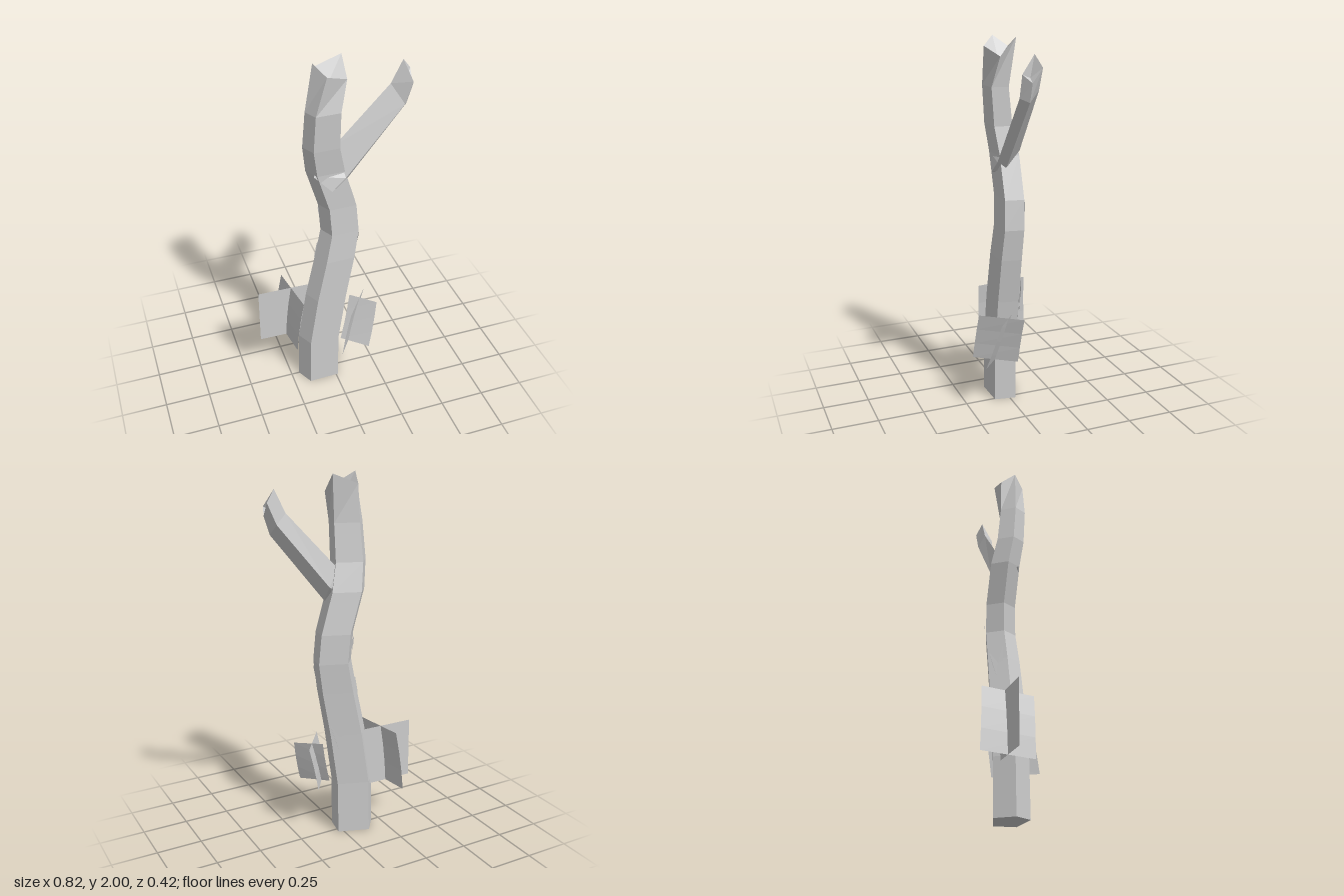
import * as THREE from 'three';

// Faceted skin through equal-sized rings of [x, y, z], with fans to a centre at both ends
function loft(rings, startCentre, endCentre) {
  const n = rings[0].length, pos = [];
  const tri = (a, b, c) => pos.push(...a, ...b, ...c);
  for (let i = 0; i < n; i++) {
    const k = (i + 1) % n;
    for (let j = 0; j < rings.length - 1; j++) {
      const lo = rings[j], hi = rings[j + 1];
      tri(lo[i], lo[k], hi[k]);
      tri(lo[i], hi[k], hi[i]);
    }
    tri(rings[0][k], rings[0][i], startCentre);
    const end = rings[rings.length - 1];
    tri(end[i], end[k], endCentre);
  }
  return facets(pos);
}

function facets(pos) {
  const g = new THREE.BufferGeometry();
  g.setAttribute('position', new THREE.Float32BufferAttribute(pos, 3));
  g.computeVertexNormals();
  return g;
}

const mix = (a, b, t) => a.map((v, i) => v + (b[i] - v) * t);

// Trunk cross-section: left, front-left, front-right, back-right, back
const section = [[-0.115, 0], [-0.07, 0.09], [0.1, 0.085], [0.12, -0.03], [-0.045, -0.09]];
// Trunk spine: y, centre x, centre z, scale
const spine = [
  [0, -0.09, 0, 1], [0.3, -0.085, 0, 0.99], [0.6, -0.04, 0, 0.97],
  [0.85, 0.01, 0, 0.93], [1.02, 0.04, -0.005, 0.88], [1.18, 0.028, -0.01, 0.87],
  [1.4, -0.038, -0.008, 0.87], [1.55, -0.065, 0.015, 0.81], [1.75, -0.06, 0.033, 0.76],
];
const trunkRings = spine.map(([y, cx, cz, s]) => section.map(([x, z]) => [cx + x * s, y, cz + z * s]));
// Jagged broken top
trunkRings.push([[-0.11, 2, 0.045], [-0.06, 1.95, 0.11], [0.055, 1.905, 0.065], [0.055, 2, -0.02], [-0.085, 1.945, -0.03]]);

// Point on a trunk side, u across the side and y up, lifted slightly off the bark
function onTrunk(side, u, y) {
  let j = 0;
  while (j < spine.length - 2 && spine[j + 1][0] < y) j++;
  const t = (y - spine[j][0]) / (spine[j + 1][0] - spine[j][0]);
  const k = (side + 1) % 5;
  const a = mix(trunkRings[j][side], trunkRings[j + 1][side], t);
  const b = mix(trunkRings[j][k], trunkRings[j + 1][k], t);
  const p = mix(a, b, u);
  const dx = b[0] - a[0], dz = b[2] - a[2], d = 0.008 / Math.hypot(dx, dz);
  return [p[0] - dz * d, p[1], p[2] + dx * d];
}

// Torn outline of a loose bark flake, in fractions of its width and height
const flakeOutline = [[0, 0.85], [0.2, 0.35], [0.4, 0], [0.55, 0.45], [0.9, 0.5], [1, 1], [0.05, 0.95]]
  .map(([x, y]) => new THREE.Vector2(x, y));
const flakeFaces = THREE.ShapeUtils.triangulateShape(flakeOutline, []);
function flake(side, u0, u1, y0, y1) {
  const pts = flakeOutline.map(p => onTrunk(side, u0 + (u1 - u0) * p.x, y0 + (y1 - y0) * p.y));
  return facets(flakeFaces.flatMap(f => f.flatMap(i => pts[i])));
}

// Slightly bowed sheet between a bottom and a top edge
function sheet(b0, b1, t0, t1, bow) {
  const pos = [], rows = 3;
  const at = (a, b, t) => {
    const p = mix(a, b, t), s = bow * Math.sin(Math.PI * t);
    return [p[0] + s, p[1], p[2]];
  };
  for (let r = 0; r < rows; r++) {
    const s = r / rows, t = (r + 1) / rows;
    const a = at(b0, t0, s), b = at(b1, t1, s), c = at(b1, t1, t), d = at(b0, t0, t);
    pos.push(...a, ...b, ...c, ...a, ...c, ...d);
  }
  return facets(pos);
}

export function createModel() {
  const model = new THREE.Group();
  const bark = new THREE.MeshStandardMaterial({ color: 0xcccccc, flatShading: true, side: THREE.DoubleSide });
  bark.name = 'bark grey';
  const add = (name, geometry, parent = model) => {
    const mesh = new THREE.Mesh(geometry, bark);
    mesh.name = name;
    parent.add(mesh);
  };

  // Five-sided winding trunk with a sunken, splintered top
  add('trunk', loft(trunkRings, [-0.09, 0, 0], [-0.035, 1.88, 0.04]));

  // Four-sided branch: back, top, front, bottom corners from root to tip
  add('branch', loft([
    [[-0.04, 1.37, 0], [-0.115, 1.395, 0.06], [-0.025, 1.305, 0.085], [-0.02, 1.3, 0.05]],
    [[0.08, 1.43, -0.03], [0.02, 1.52, -0.005], [0.05, 1.37, 0.08], [0.075, 1.345, 0.04]],
    [[0.36, 1.77, -0.012], [0.3, 1.82, 0.01], [0.35, 1.735, 0.083], [0.375, 1.715, 0.04]],
    [[0.408, 1.88, -0.01], [0.36, 1.94, 0.012], [0.387, 1.85, 0.085], [0.405, 1.81, 0.04]],
  ], [-0.05, 1.34, 0.05], [0.365, 1.83, 0.035]));

  // Crossed leaf sheets at the foot of the trunk
  const sheets = new THREE.Group();
  sheets.name = 'leafSheets';
  model.add(sheets);
  add('rightSheet', sheet([-0.41, 0.275, -0.064], [-0.1, 0.275, -0.06], [-0.408, 0.613, -0.064], [-0.1, 0.613, -0.06], 0), sheets);
  add('rightCrossSheet', sheet([-0.28, 0.275, -0.21], [-0.235, 0.275, 0.09], [-0.24, 0.613, -0.19], [-0.195, 0.613, 0.103], -0.006), sheets);
  add('leftSheet', sheet([0.03, 0.275, 0.075], [0.16, 0.275, 0.19], [0.1, 0.54, 0.02], [0.225, 0.535, 0.125], 0.004), sheets);
  add('leftCrossSheet', sheet([-0.006, 0.275, 0.208], [0.14, 0.275, 0], [0.05, 0.54, 0.19], [0.2, 0.54, -0.012], -0.004), sheets);

  // Loose bark flakes: side, start and end across it, bottom and top
  const flakes = new THREE.Group();
  flakes.name = 'barkFlakes';
  model.add(flakes);
  [
    [2, 0.15, 0.95, 0.87, 1.0], [3, 0.05, 0.45, 0.5, 0.7], [3, 0.55, 0.95, 1.04, 1.14],
    [4, 0.1, 0.85, 0.74, 0.92], [3, 0.6, 0.9, 0.35, 0.58], [2, 0.6, 0.9, 0.36, 0.5],
    [4, 0.3, 0.9, 1.06, 1.15],
  ].forEach((f, i) => add('barkFlake' + (i + 1), flake(...f), flakes));

  return model;
}
